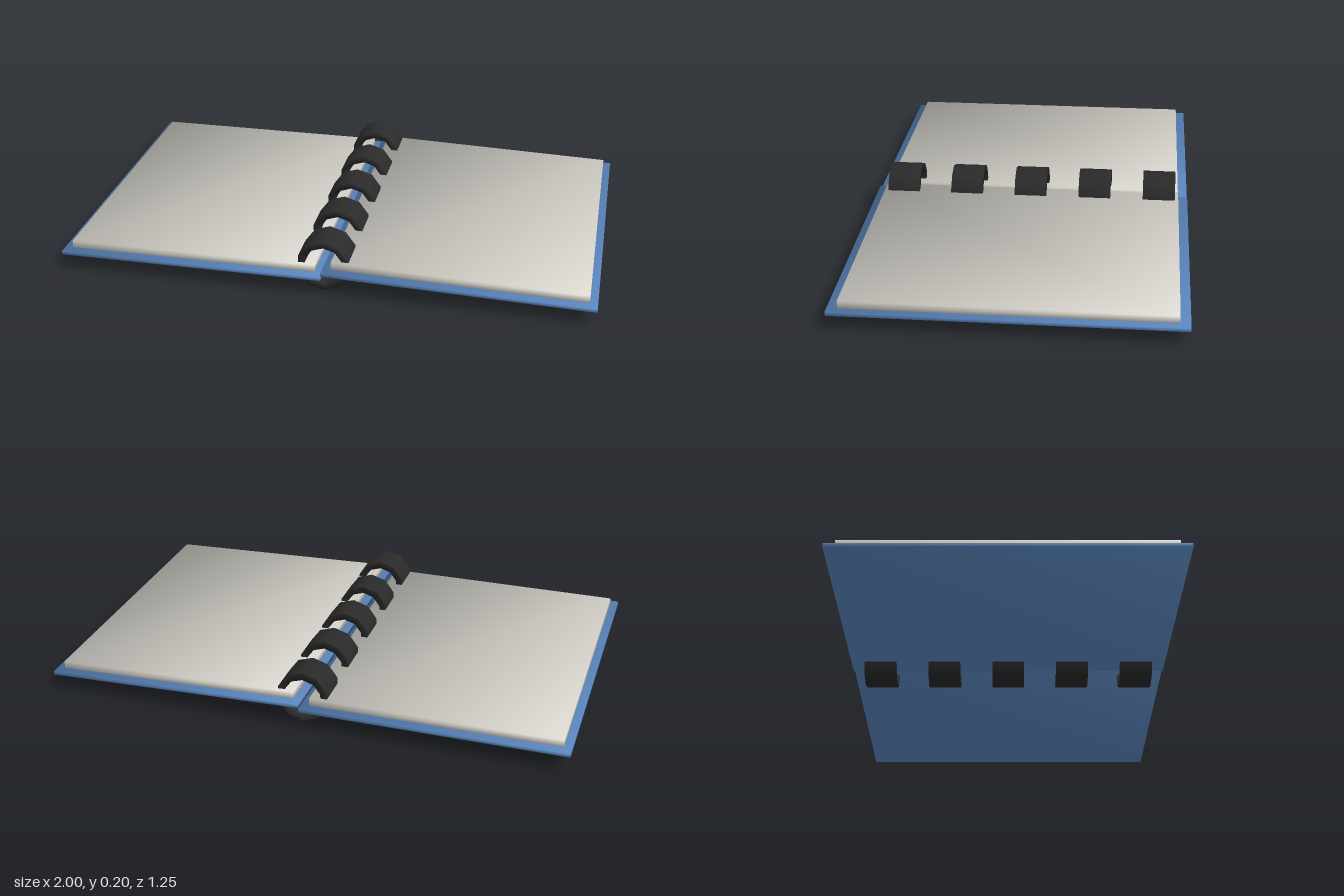
import * as THREE from 'three';

const coverBlue = new THREE.MeshStandardMaterial({ name: 'coverBlue', color: 0x5b87bf });
const paperCream = new THREE.MeshStandardMaterial({ name: 'paperCream', color: 0xdedbd3 });
const ringBlack = new THREE.MeshStandardMaterial({ name: 'ringBlack', color: 0x2b2b2b });

// Box whose corner normals are averaged, for soft shading across its faces
function softBox(name, width, height, depth, material) {
  const geometry = new THREE.BoxGeometry(width, height, depth);
  const p = geometry.attributes.position;
  const n = new THREE.Vector3();
  for (let i = 0; i < p.count; i++) {
    n.set(Math.sign(p.getX(i)), Math.sign(p.getY(i)), Math.sign(p.getZ(i))).normalize();
    geometry.attributes.normal.setXYZ(i, n.x, n.y, n.z);
  }
  const mesh = new THREE.Mesh(geometry, material);
  mesh.name = name;
  return mesh;
}

// One open half: a cover with its block of pages, hinged at x = 0
function createHalf(side, name) {
  const half = new THREE.Group();
  half.name = name;
  const cover = softBox(name + 'Cover', 1, 0.014, 1.245, coverBlue);
  cover.position.set(side * 0.5, 0.007, 0);
  const pages = softBox(name + 'Pages', 0.94, 0.028, 1.17, paperCream);
  pages.position.set(side * 0.5, 0.028, 0);
  half.add(cover, pages);
  return half;
}

export function createModel() {
  const notebook = new THREE.Group();
  notebook.name = 'notebook';

  // The right-hand half lies flat, the other slopes slightly down from the spine
  const flatHalf = createHalf(-1, 'flat');
  flatHalf.position.y = 0.065;
  const slopedHalf = createHalf(1, 'sloped');
  slopedHalf.position.y = 0.083;
  slopedHalf.rotation.z = -0.03;
  notebook.add(flatHalf, slopedHalf);

  // Five ten-sided binding rings along the spine
  const outer = 0.1, inner = 0.073, h = 0.063;
  const profile = [[outer, -h], [outer, h], [inner, h], [inner, -h], [outer, -h]]
    .map(([r, y]) => new THREE.Vector2(r, y));
  const ringGeometry = new THREE.LatheGeometry(profile, 10).rotateX(Math.PI / 2);
  for (let i = -2; i <= 2; i++) {
    const ring = new THREE.Mesh(ringGeometry, ringBlack);
    ring.name = 'bindingRing';
    ring.position.set(0, 0.1, i * 0.254);
    notebook.add(ring);
  }
  return notebook;
}
